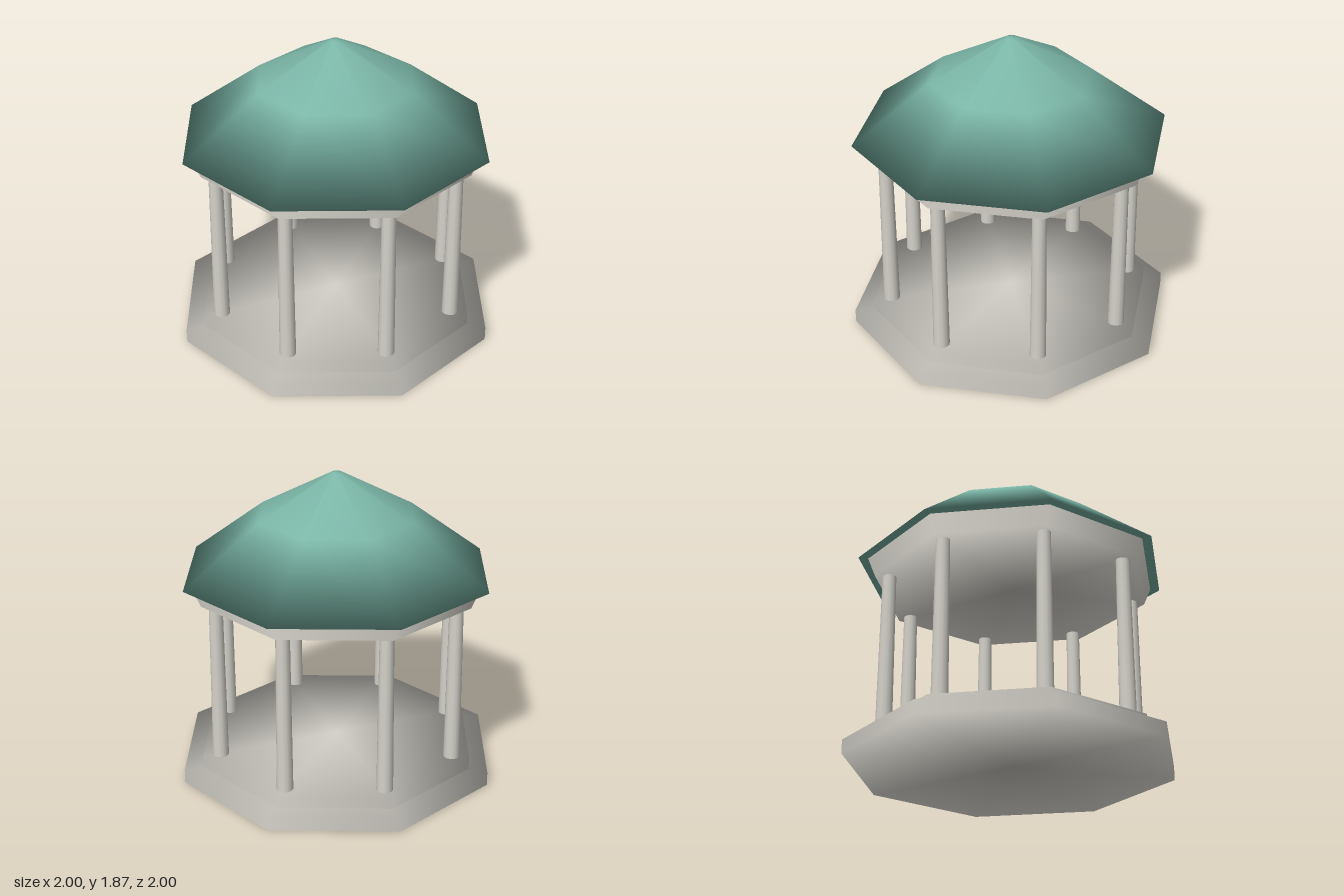
import * as THREE from 'three';

const SIDES = 8;

// Cylinder whose rim normals point straight outward, so caps blend softly into the sides
function softCylinder(rTop, rBottom, yBottom, yTop, sides) {
  const geo = new THREE.CylinderGeometry(rTop, rBottom, yTop - yBottom, sides);
  const pos = geo.attributes.position;
  const nor = geo.attributes.normal;
  for (let i = 0; i < pos.count; i++) {
    const x = pos.getX(i), z = pos.getZ(i), r = Math.hypot(x, z);
    if (r > 1e-4) nor.setXYZ(i, x / r, 0, z / r);
  }
  geo.translate(0, (yBottom + yTop) / 2, 0);
  return geo;
}

export function createModel() {
  const stone = new THREE.MeshStandardMaterial({ color: 0xd6d3cb });
  stone.name = 'pale stone';
  const copper = new THREE.MeshStandardMaterial({ color: 0x7ab5a6 });
  copper.name = 'green copper';

  const pavilion = new THREE.Group();
  pavilion.name = 'pavilion';
  const add = (name, geo, mat, parent = pavilion) => {
    const mesh = new THREE.Mesh(geo, mat);
    mesh.name = name;
    parent.add(mesh);
    return mesh;
  };

  // Two-step octagonal platform
  add('lowerStep', softCylinder(1, 1, 0, 0.085, SIDES), stone);
  add('floor', softCylinder(0.88, 0.88, 0.085, 0.155, SIDES), stone);

  // Ring of tapered columns, one at each corner
  const columns = new THREE.Group();
  columns.name = 'columns';
  pavilion.add(columns);
  const columnGeo = softCylinder(0.042, 0.05, 0.155, 1.15, 12);
  for (let i = 0; i < SIDES; i++) {
    const a = (i / SIDES) * Math.PI * 2;
    const column = add('column', columnGeo, stone, columns);
    column.position.set(0.765 * Math.sin(a), 0, 0.765 * Math.cos(a));
  }

  // Flared beam carrying the roof
  add('beam', softCylinder(0.9, 0.855, 1.15, 1.26, SIDES), stone);

  // Two-pitch roof with a closed underside and a tiny flat tip
  const roofProfile = [[0, 1.26], [0.96, 1.26], [0.49, 1.62], [0.03, 1.873], [0, 1.873]]
    .map(([r, y]) => new THREE.Vector2(r, y));
  add('roof', new THREE.LatheGeometry(roofProfile, SIDES), copper);

  return pavilion;
}
